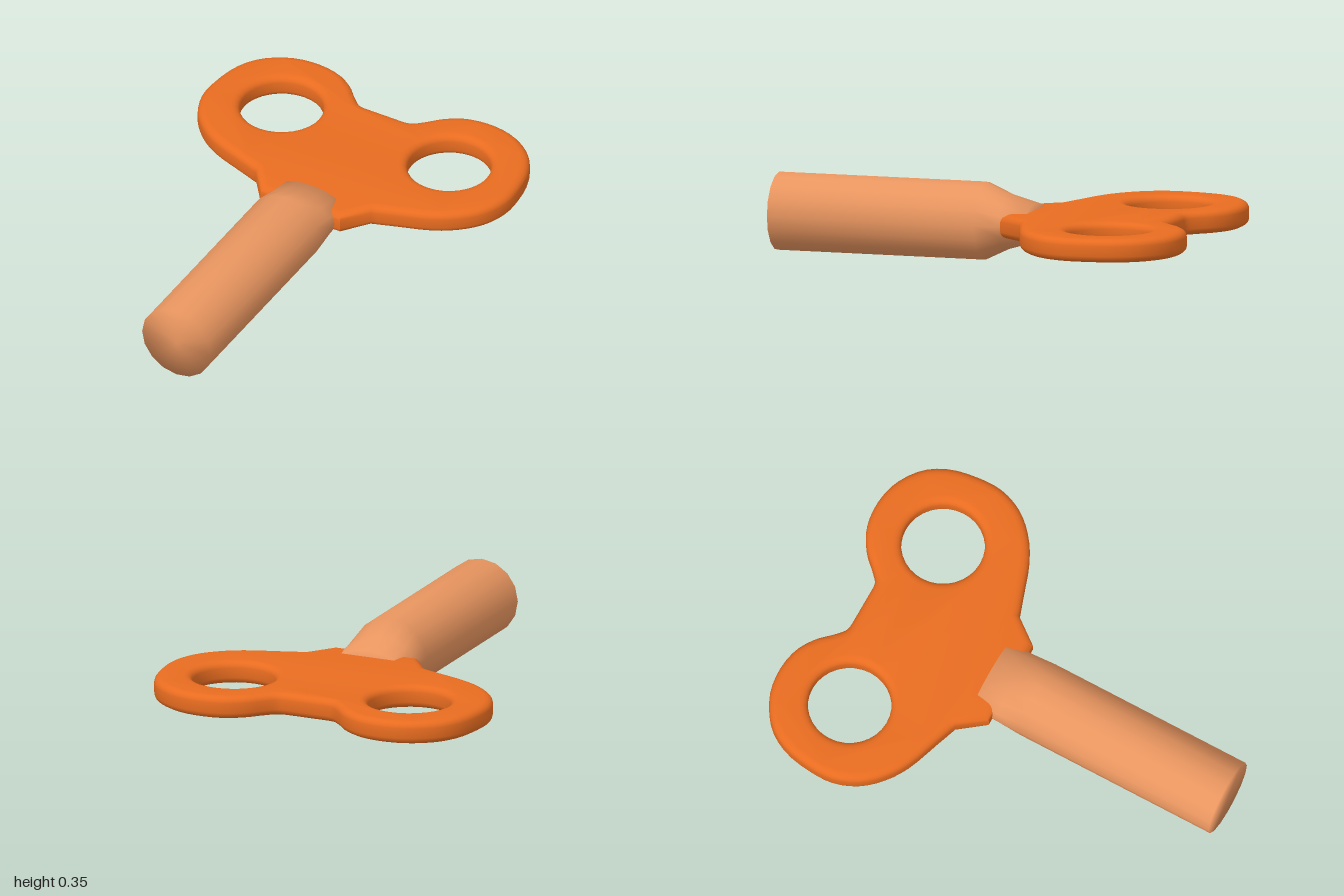
import * as THREE from 'three';
import { mergeVertices, toCreasedNormals } from 'three/addons/utils/BufferGeometryUtils.js';

const MID_Y = 0.175; // height of the key's centre plane

// Flat butterfly-shaped grip with two finger holes and rounded rims
function createHandle() {
  const half = new THREE.SplineCurve([
    [0.1, 0.826], [0.135, 0.835], [0.18, 0.875], [0.24, 0.935], [0.33, 0.985], [0.45, 1.0],
    [0.57, 0.975], [0.68, 0.9], [0.745, 0.79], [0.77, 0.65], [0.765, 0.54], [0.72, 0.435],
    [0.64, 0.35], [0.54, 0.288], [0.39, 0.235], [0.29, 0.2],
  ].map(([x, y]) => new THREE.Vector2(x, y))).getPoints(44);
  half.push(new THREE.Vector2(0.2, 0.083));

  // The outline runs clockwise, so the holes run counter-clockwise
  const mirrored = half.map((p) => new THREE.Vector2(-p.x, p.y)).reverse();
  const shape = new THREE.Shape([...half, ...mirrored]);
  for (const side of [-1, 1]) {
    shape.holes.push(new THREE.Path().absarc(side * 0.423, 0.655, 0.184, 0, Math.PI * 2, false));
  }

  const thickness = 0.104;
  const bevelHeight = 0.03;
  const bevelWidth = 0.038;
  const geometry = new THREE.ExtrudeGeometry(shape, {
    depth: thickness - 2 * bevelHeight,
    bevelThickness: bevelHeight,
    bevelSize: bevelWidth,
    bevelOffset: -bevelWidth,
    bevelSegments: 4,
    curveSegments: 16,
  });
  geometry.translate(0, 0, bevelHeight - thickness / 2);
  geometry.rotateX(-Math.PI / 2);
  const mesh = new THREE.Mesh(
    toCreasedNormals(geometry, 0.7),
    new THREE.MeshStandardMaterial({ color: 0xe86c20 }),
  );
  mesh.name = 'handle';
  mesh.position.y = MID_Y + 0.005;
  return mesh;
}

// Round shaft whose rear end is squeezed vertically where it grips the handle
function createShaft() {
  const rowZ = [1, 0.05, -0.06, -0.18];
  const rowHeight = [0.173, 0.173, 0.12, 0.085];
  let geometry = new THREE.CylinderGeometry(1, 1, 1, 16, 3);
  geometry.rotateX(Math.PI / 2);
  const pos = geometry.attributes.position;
  for (let i = 0; i < pos.count; i++) {
    const row = Math.round((0.5 - pos.getZ(i)) * 3);
    pos.setXYZ(i, pos.getX(i) * 0.173, pos.getY(i) * rowHeight[row], rowZ[row]);
  }
  // Weld the seams so the shading runs smoothly over the ends
  geometry.deleteAttribute('normal');
  geometry.deleteAttribute('uv');
  geometry = mergeVertices(geometry, 1e-4);
  geometry.computeVertexNormals();
  const mesh = new THREE.Mesh(geometry, new THREE.MeshStandardMaterial({ color: 0xe8955f }));
  mesh.name = 'shaft';
  mesh.position.y = MID_Y;
  return mesh;
}

export function createModel() {
  const model = new THREE.Group();
  model.name = 'windUpKey';
  model.add(createHandle(), createShaft());
  return model;
}
